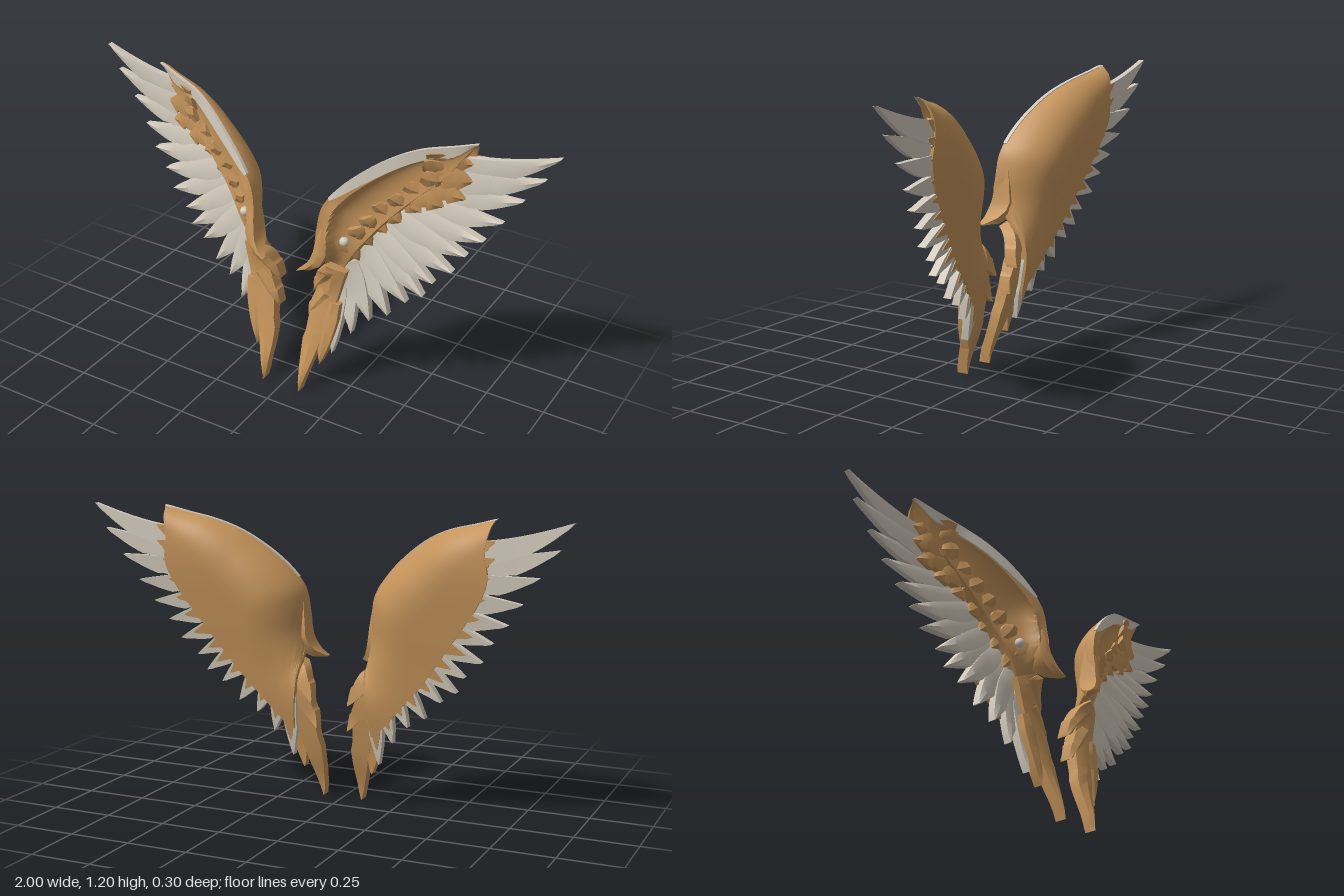
import * as THREE from 'three';
import { mergeGeometries, toCreasedNormals } from 'three/addons/utils/BufferGeometryUtils.js';

const V = (x, y, z = 0) => new THREE.Vector3(x, y, z);
const lerp = THREE.MathUtils.lerp;

// leading rim (with depth) and trailing edge of the shell
const rimCurve = new THREE.CatmullRomCurve3([
  V(0.70, 1.197, -0.08), V(0.62, 1.175, -0.06), V(0.5, 1.145, -0.03), V(0.4, 1.1, 0.01), V(0.3, 1.03, 0.05),
  V(0.215, 0.95, 0.08), V(0.16, 0.87, 0.098), V(0.143, 0.78, 0.106), V(0.14, 0.7, 0.112), V(0.14, 0.58, 0.03)]);
const trailCurve = new THREE.CatmullRomCurve3([
  V(0.69, 1.187), V(0.67, 1.08), V(0.68, 0.97), V(0.63, 0.86), V(0.56, 0.76),
  V(0.48, 0.65), V(0.39, 0.53), V(0.3, 0.43), V(0.22, 0.34), V(0.17, 0.3)]);
const rimSamples = Array.from({ length: 201 }, (_, i) => rimCurve.getPoint(i / 200));

// depth of the wing's back plane at each height
const backCurve = new THREE.SplineCurve(
  [0.1, 0.022, -0.03, -0.07, -0.11, -0.143, -0.147].map((z, i) => new THREE.Vector2(i * 0.2, z)));
const backZ = (y) => backCurve.getPoint(THREE.MathUtils.clamp(y / 1.2, 0, 1)).y;
const bowl = (k) => (k >= 1 ? 0 : 1 - Math.sqrt(1 - (1 - Math.max(k, 0)) ** 2));

// surface rising from the back plane (plus lift) in a rounded sweep to the rim
function depth(x, y, lift = 0, lip = 0, drop = 0) {
  let best = 0, dist = Infinity;
  rimSamples.forEach((r, i) => {
    const d = Math.hypot(x - r.x, y - r.y);
    if (d < dist) [best, dist] = [i, d];
  });
  const reach = lerp(0.06, 0.2, Math.min(1, best / 80)), b = backZ(y) + lift;
  return b + Math.max(0, rimSamples[best].z - drop - b) * bowl((dist - lip) / reach);
}

// closed solid through a list of equal-length cross-section loops, always facing outward
function loft(sections, crease = 0.6) {
  const n = sections[0].length, m = sections.length, pts = sections.flat(), tris = [];
  for (let i = 0; i < m - 1; i++) {
    for (let j = 0; j < n; j++) {
      const a = i * n + j, b = i * n + (j + 1) % n;
      tris.push([a, b, b + n], [a, b + n, a + n]);
    }
  }
  for (let j = 1; j < n - 1; j++) {
    const e = (m - 1) * n;
    tris.push([0, j + 1, j], [e, e + j, e + j + 1]);
  }
  let volume = 0;
  for (const [a, b, c] of tris) volume += pts[a].dot(pts[b].clone().cross(pts[c]));
  const geo = new THREE.BufferGeometry().setFromPoints(pts);
  geo.setIndex(tris.flatMap(([a, b, c]) => (volume > 0 ? [a, b, c] : [a, c, b])));
  return toCreasedNormals(geo, crease);
}

// curved, slightly ridged feather with split barbs on its trailing edge
function feather([bx, by], [tx, ty], hw, bend, off, th, split = 0.18) {
  const dir = V(tx - bx, ty - by).normalize();
  const ctrl = V((bx + tx) / 2 + dir.y * bend, (by + ty) / 2 - dir.x * bend);
  const curve = new THREE.QuadraticBezierCurve3(V(bx, by), ctrl, V(tx, ty));
  const rows = [];
  for (let i = 0; i <= 16; i++) {
    const t = i / 16, p = curve.getPoint(t), d = curve.getTangent(t);
    const w = hw * (1 - t ** 3) * (0.75 + 0.25 * Math.min(1, t * 4)) + 0.001;
    const cut = t > 0.35 && t < 0.95 ? 1 - split * ((i % 5) / 4) : 1;
    const h = th * (1 - 0.3 * t), lift = off * (1 - t ** 4);
    const at = (k, z) => {
      const x = p.x + d.y * w * k, y = THREE.MathUtils.clamp(p.y - d.x * w * k, 0, 1.2);
      return V(x, y, depth(x, y) + lift + z);
    };
    rows.push([at(-1, 0), at(-1, h * 0.85), at(-0.1, h), at(cut, h * 0.8), at(cut, 0)]);
  }
  return loft(rows, 0.5);
}

// one cross-section of the shell: convex back, thin trailing edge, hollow front, rim
function shellSection(u) {
  const r = rimCurve.getPoint(u), t = trailCurve.getPoint(u);
  const len = Math.hypot(t.x - r.x, t.y - r.y), lip = Math.min(0.045, len * 0.3);
  const floor = 0.05 + 0.045 * Math.sin(Math.PI * u);
  const at = (s, ...shape) => {
    const x = lerp(r.x, t.x, s), y = lerp(r.y, t.y, s);
    return V(x, y, depth(x, y, ...shape));
  };
  const loop = [r];
  for (let i = 1; i <= 16; i++) loop.push(at((i / 16) ** 2));
  loop.push(at(1, 0.012), at(0.57, 0.012));
  for (let i = 12; i >= 0; i--) loop.push(at(lerp(lip / len, 0.53, (i / 12) ** 2), floor, lip, 0.01));
  return loop;
}

const shell = () => loft(Array.from({ length: 49 }, (_, i) => shellSection(i / 48)), 0.7);

// pale strip lying on the front of the leading rim
function rimStrip() {
  const rows = [];
  for (let i = 0; i <= 28; i++) {
    const loop = shellSection((i / 28) * 0.61), r = loop[0], q = loop[loop.length - 1];
    const e = q.clone().sub(r).setZ(0).normalize().multiplyScalar(0.003);
    const inner = r.clone().lerp(q, 1 - 0.8 * (i / 28) ** 6);
    rows.push([V(r.x - e.x, r.y - e.y, r.z - 0.014), V(r.x - e.x, r.y - e.y, r.z + 0.002),
      V(inner.x, inner.y, inner.z + 0.006), V(inner.x, inner.y, inner.z - 0.008)]);
  }
  return loft(rows);
}

// curl at the lower end of the rim: centre x, y, half width, back z, front z, turn
function hook() {
  return loft([
    [0.16, 0.82, 0.008, 0.05, 0.085, 0], [0.162, 0.74, 0.02, 0.04, 0.108, 0.1], [0.16, 0.67, 0.025, 0.035, 0.12, 0.3],
    [0.145, 0.63, 0.024, 0.045, 0.13, 0.7], [0.115, 0.602, 0.014, 0.075, 0.138, 1.1], [0.078, 0.586, 0.002, 0.125, 0.145, 1.3],
  ].map(([x, y, w, zb, zf, a]) => {
    const c = Math.cos(a) * w, s = Math.sin(a) * w;
    return [V(x - c, y + s, zb), V(x - c, y + s, zf), V(x, y, zf + 0.003), V(x + c, y - s, zf - 0.012), V(x + c, y - s, zb)];
  }), 0.8);
}

// pale flight feathers: base, tip, half width, bend
const flight = [
  [[0.5, 1.07], [1.0, 1.2], 0.045, 0.085], [[0.48, 1.02], [0.95, 1.1], 0.047, 0.07],
  [[0.45, 0.97], [0.875, 0.995], 0.047, 0.055], [[0.43, 0.92], [0.81, 0.893], 0.046, 0.045],
  [[0.4, 0.87], [0.75, 0.808], 0.046, 0.035], [[0.37, 0.83], [0.69, 0.733], 0.046, 0.03],
  [[0.34, 0.79], [0.645, 0.655], 0.046, 0.03], [[0.31, 0.75], [0.575, 0.59], 0.045, 0.025],
  [[0.29, 0.72], [0.54, 0.525], 0.044, 0.02], [[0.27, 0.68], [0.475, 0.48], 0.044, 0.02],
  [[0.25, 0.65], [0.405, 0.405], 0.044, 0.02], [[0.23, 0.6], [0.33, 0.36], 0.042, 0.015],
  [[0.21, 0.56], [0.26, 0.285], 0.04, 0.01], [[0.195, 0.52], [0.19, 0.18], 0.036, 0.01],
];
// brown backs of the flight feathers, covering less of the long outer ones
const quills = flight.map(([b, t, w, c], i) => {
  const f = Math.min(0.8, 0.42 + 0.07 * i);
  return feather(b, [lerp(b[0], t[0], f), lerp(b[1], t[1], f)], w * 0.9, c * f, 0.002, 0.006);
});
// tips of the two rows of short brown feathers
const outerTips = [[0.68, 1.1], [0.685, 1.03], [0.66, 0.955], [0.58, 0.905], [0.5, 0.86], [0.43, 0.8],
  [0.37, 0.74], [0.315, 0.68], [0.27, 0.61]];
const innerTips = [[0.61, 1.08], [0.59, 1.02], [0.53, 0.95], [0.46, 0.89], [0.4, 0.83], [0.345, 0.77], [0.3, 0.71]];

// short feathers swinging from outward to downward, shorter and thicker along the row
function coverts(tips, length, hw, off, th) {
  return tips.map(([x, y], i) => {
    const k = i / (tips.length - 1), a = lerp(0, -1.05, k), l = length * (i % 2 ? 0.88 : 1) * lerp(1, 0.75, k);
    return feather([x - Math.cos(a) * l, y - Math.sin(a) * l], [x, y], hw * lerp(1, 0.8, k), 0.012,
      off + (i % 2) * 0.008, th * lerp(1, 1.5, k), 0.35);
  });
}

// brown tail feathers at the foot of the wing
const tail = [
  [[0.2, 0.58], [0.085, 0], 0.05, 0.05, 0.025, 0.07], [[0.185, 0.42], [0.15, 0.13], 0.04, 0.01, 0.03, 0.06],
  [[0.18, 0.57], [0.08, 0.425], 0.034, 0.015, 0.02, 0.08], [[0.155, 0.46], [0.068, 0.315], 0.03, 0.01, 0.025, 0.075],
];

export function createModel() {
  const brown = new THREE.MeshStandardMaterial({ color: 0xc4935a });
  brown.name = 'warm brown';
  const pale = new THREE.MeshStandardMaterial({ color: 0xd0c8ba });
  pale.name = 'pale grey';

  const stud = new THREE.SphereGeometry(0.02, 12, 8);
  stud.translate(0.228, 0.71, 0.04);
  const parts = [
    ['wingShell', [shell()], brown],
    ['leadingRim', [rimStrip()], pale],
    ['rimHook', [hook()], brown],
    ['flightFeathers', flight.map(([b, t, w, c], i) => feather(b, t, w, c, 0.005 + (i % 2) * 0.006, i < 4 ? 0.036 : 0.05)), pale],
    ['featherBacks', quills, brown],
    ['outerCoverts', coverts(outerTips, 0.16, 0.05, 0.022, 0.052), brown],
    ['innerCoverts', coverts(innerTips, 0.1, 0.036, 0.03, 0.07), brown],
    ['tailFeathers', tail.map((f) => feather(...f)), brown],
    ['rimStud', [stud], pale],
  ].map(([name, geos, mat]) => [name, geos.length > 1 ? mergeGeometries(geos) : geos[0].toNonIndexed(), mat]);

  // mirrored copy with corner order restored
  const mirror = (geo) => {
    const g = geo.clone().scale(-1, 1, 1);
    for (const key of ['position', 'normal']) {
      const a = g.attributes[key].array;
      for (let i = 0; i < a.length; i += 9) {
        for (let k = 0; k < 3; k++) [a[i + 3 + k], a[i + 6 + k]] = [a[i + 6 + k], a[i + 3 + k]];
      }
    }
    return g;
  };

  const model = new THREE.Group();
  model.name = 'wings';
  for (const side of ['left', 'right']) {
    const wing = new THREE.Group();
    wing.name = side + 'Wing';
    for (const [name, geo, mat] of parts) {
      const mesh = new THREE.Mesh(side === 'left' ? geo : mirror(geo), mat);
      mesh.name = name;
      wing.add(mesh);
    }
    model.add(wing);
  }
  return model;
}
